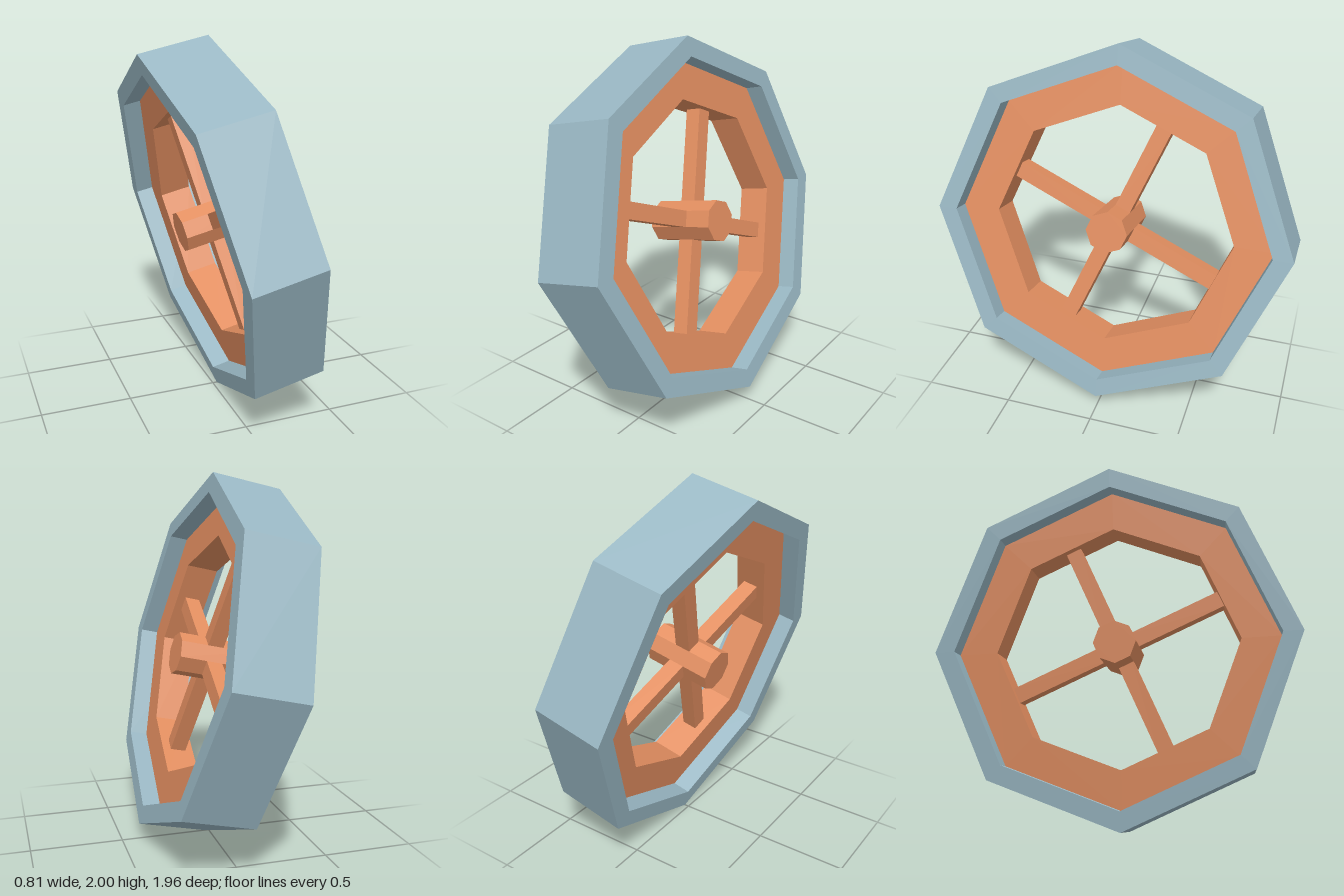
import * as THREE from 'three';

const SIDES = 8;
const TILT = 0.22;

// Corners of a regular octagon with one corner pointing up
function octagon(radius) {
  return Array.from({ length: SIDES }, (_, i) => {
    const a = (i / SIDES) * Math.PI * 2;
    return new THREE.Vector2(Math.cos(a) * radius, Math.sin(a) * radius);
  });
}

// Octagonal prism along the x axle, with an optional octagonal hole
function prism(name, material, outer, inner, width) {
  const shape = new THREE.Shape(octagon(outer));
  if (inner > 0) shape.holes.push(new THREE.Path(octagon(inner)));
  const geometry = new THREE.ExtrudeGeometry(shape, { depth: width, bevelEnabled: false });
  geometry.translate(0, 0, -width / 2).rotateY(Math.PI / 2);
  const mesh = new THREE.Mesh(geometry, material);
  mesh.name = name;
  return mesh;
}

export function createModel() {
  const metal = new THREE.MeshStandardMaterial({ color: 0x99b7c3 });
  metal.name = 'blueGreyMetal';
  const wood = new THREE.MeshStandardMaterial({ color: 0xe28e60 });
  wood.name = 'orangeWood';

  const wheel = new THREE.Group();
  wheel.name = 'tiltedWheel';

  // Metal tyre, recessed wooden ring and hub
  wheel.add(prism('tyre', metal, 0.981, 0.875, 0.388));
  wheel.add(prism('woodenRing', wood, 0.88, 0.665, 0.184));
  wheel.add(prism('hub', wood, 0.115, 0, 0.384));

  // Four spokes meeting the middles of the ring's flat sides
  const start = 0.06, end = 0.618;
  for (let i = 0; i < 4; i++) {
    const geometry = new THREE.BoxGeometry(0.088, end - start, 0.088);
    geometry.translate(0, (start + end) / 2, 0);
    const spoke = new THREE.Mesh(geometry, wood);
    spoke.name = 'spoke' + (i + 1);
    spoke.rotation.x = -Math.PI / 8 + (i * Math.PI) / 2;
    wheel.add(spoke);
  }

  // Lean the wheel and stand it on the ground
  wheel.rotation.z = TILT;
  wheel.position.y = 1;

  const model = new THREE.Group();
  model.name = 'wheel';
  model.add(wheel);
  return model;
}
